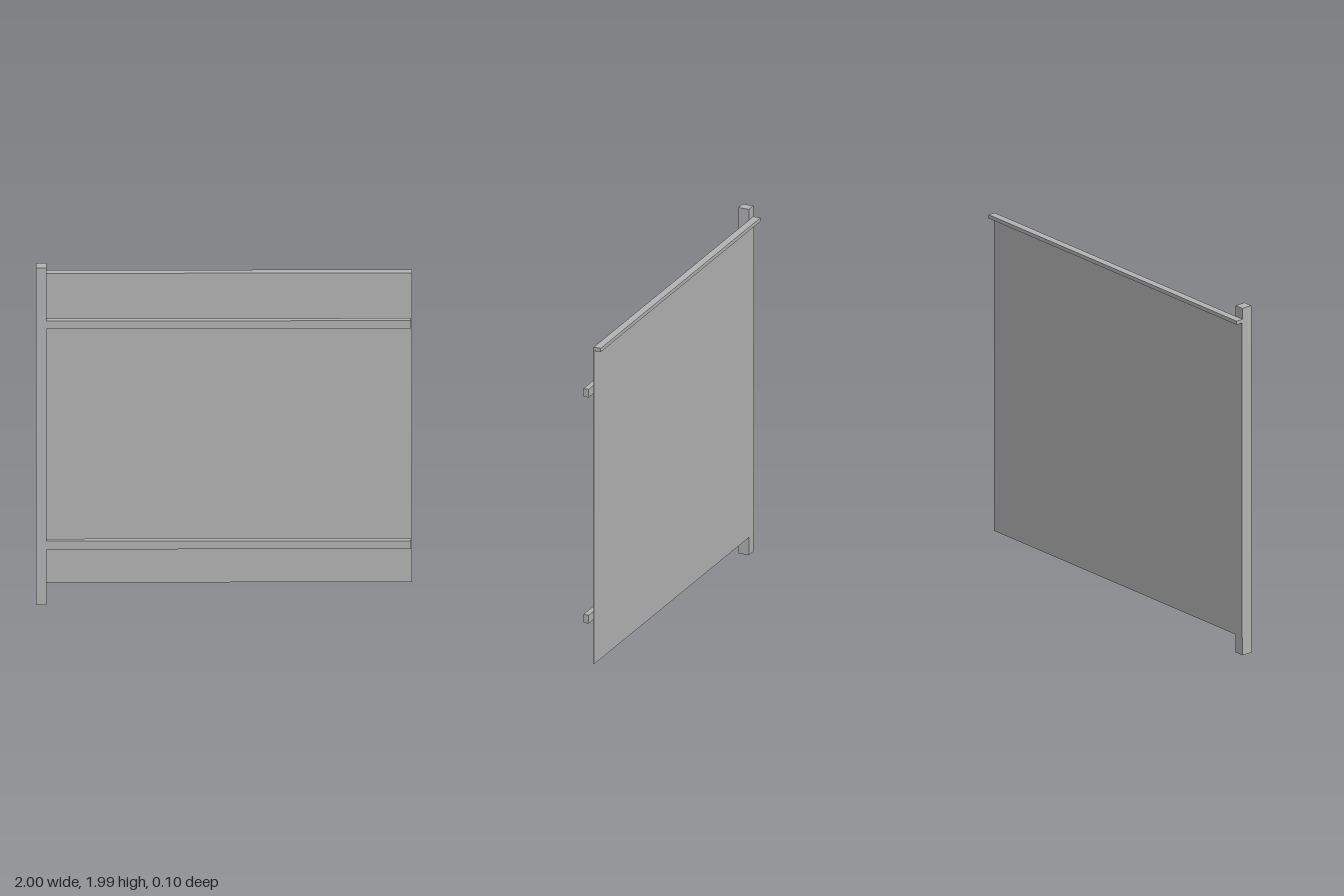
import * as THREE from 'three';

export function createModel() {
  const model = new THREE.Group();
  model.name = 'fencePanel';
  const grey = new THREE.MeshStandardMaterial({ color: 0xb4b4b4 });
  grey.name = 'grey';

  // Box given by its extents along each axis
  function addBox(name, [x0, x1], [y0, y1], [z0, z1]) {
    const mesh = new THREE.Mesh(new THREE.BoxGeometry(x1 - x0, y1 - y0, z1 - z0), grey);
    mesh.name = name;
    mesh.position.set((x0 + x1) / 2, (y0 + y1) / 2, (z0 + z1) / 2);
    model.add(mesh);
  }

  // Upright post at one end
  addBox('post', [-1, -0.944], [0, 1.99], [-0.01, 0.052]);

  // Thin sheet fixed behind the post
  addBox('sheet', [-1, 1], [0.104, 1.928], [-0.013, -0.01]);

  // Horizontal rails, flush with the front of the post
  addBox('lowerRail', [-0.944, 0.994], [0.329, 0.377], [0.022, 0.052]);
  addBox('upperRail', [-0.944, 0.994], [1.63, 1.677], [0.022, 0.052]);

  // Trim strip along the top of the sheet, on its back
  addBox('topTrim', [-1, 1], [1.907, 1.928], [-0.052, -0.013]);

  return model;
}
